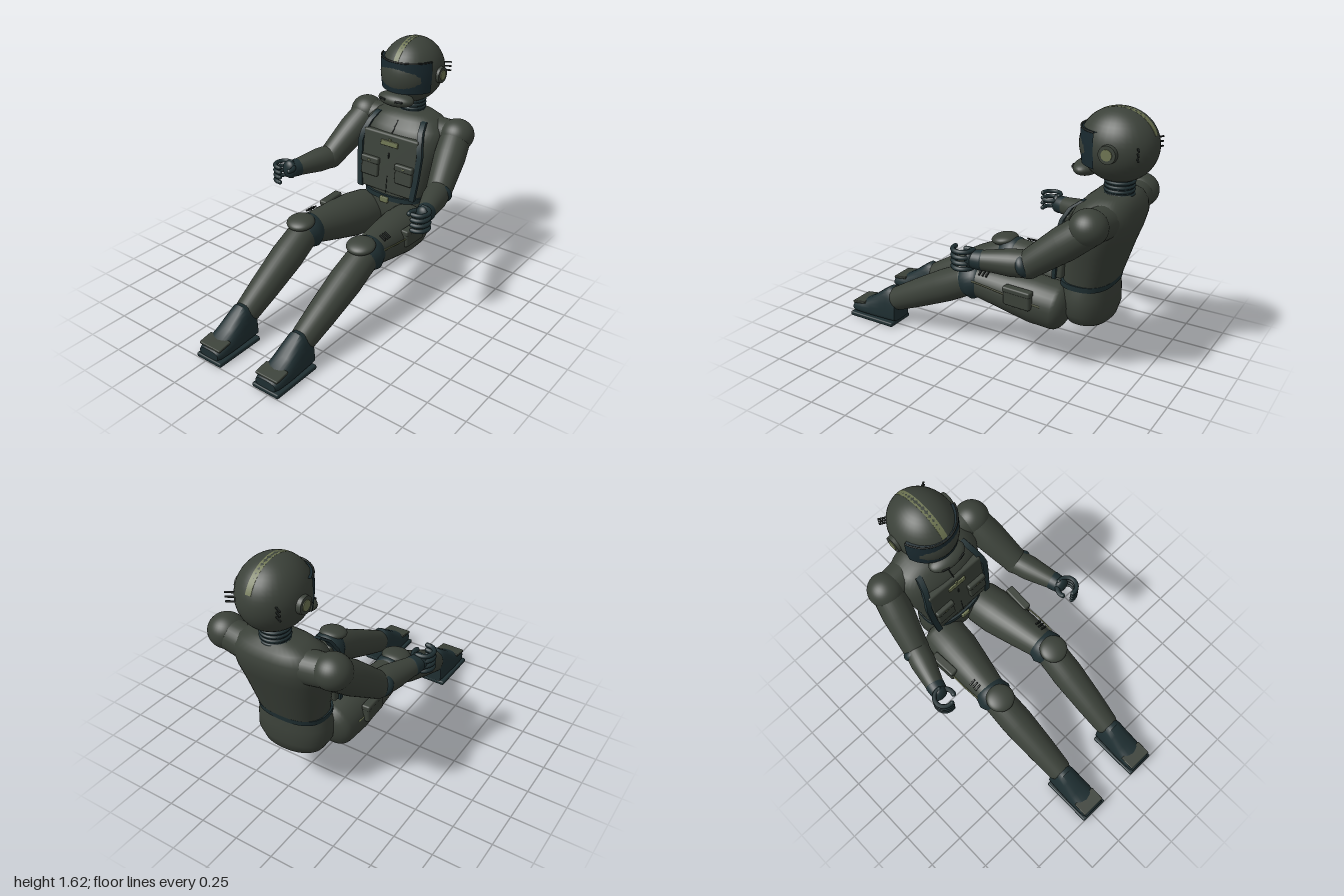
import * as THREE from 'three';
import { toCreasedNormals } from 'three/addons/utils/BufferGeometryUtils.js';
import { RoundedBoxGeometry } from 'three/addons/geometries/RoundedBoxGeometry.js';

const V = (x, y, z) => new THREE.Vector3(x, y, z);
const mat = (name, color) => Object.assign(new THREE.MeshStandardMaterial({ color }), { name });

// Skin through closed rings (counter-clockwise about the direction of travel), capped at both ends
function loft(rings, crease = 0.7) {
  const n = rings[0].length, pos = [], idx = [];
  rings.forEach(r => r.forEach(p => pos.push(p.x, p.y, p.z)));
  for (let i = 0; i < rings.length - 1; i++) for (let j = 0; j < n; j++) {
    const k = (j + 1) % n, a = i * n + j, b = i * n + k;
    idx.push(a, b, b + n, a, b + n, a + n);
  }
  [0, rings.length - 1].forEach((ri, end) => {
    const c = rings[ri].reduce((s, p) => s.add(p), V(0, 0, 0)).divideScalar(n), ci = pos.length / 3;
    pos.push(c.x, c.y, c.z);
    for (let j = 0; j < n; j++) {
      const a = ri * n + j, b = ri * n + (j + 1) % n;
      end ? idx.push(ci, a, b) : idx.push(ci, b, a);
    }
  });
  const g = new THREE.BufferGeometry();
  g.setAttribute('position', new THREE.Float32BufferAttribute(pos, 3));
  g.setIndex(idx);
  return toCreasedNormals(g, crease);
}

const pw = (v, e) => Math.sign(v) * Math.abs(v) ** e;

// Horizontal rounded-rectangle sections: [y, half width, front z, back z]
function bodyLoft(sections, e = 0.8) {
  return loft(sections.map(([y, rx, zf, zb]) => Array.from({ length: 40 }, (_, i) => {
    const a = i / 40 * Math.PI * 2;
    return V(rx * pw(Math.cos(a), e), y, (zf + zb) / 2 - (zf - zb) / 2 * pw(Math.sin(a), e));
  })), 0.9);
}

// Round limb from a to b with [t, radius] stations and domed ends
function limbGeometry(a, b, stations) {
  const len = a.distanceTo(b), pts = [], r0 = stations[0][1], r1 = stations.at(-1)[1];
  for (let i = 0; i <= 6; i++) {
    const t = (i / 6 - 1) * Math.PI / 2;
    pts.push(new THREE.Vector2(r0 * Math.cos(t), r0 * 0.6 * Math.sin(t)));
  }
  stations.slice(1, -1).forEach(([t, r]) => pts.push(new THREE.Vector2(r, t * len)));
  for (let i = 0; i <= 6; i++) {
    const t = i / 6 * Math.PI / 2;
    pts.push(new THREE.Vector2(r1 * Math.cos(t), len + r1 * 0.6 * Math.sin(t)));
  }
  pts[0].x = pts.at(-1).x = 0;
  const q = new THREE.Quaternion().setFromUnitVectors(V(0, 1, 0), b.clone().sub(a).normalize());
  return new THREE.LatheGeometry(pts, 32).applyQuaternion(q).translate(a.x, a.y, a.z);
}

export function createModel() {
  const root = new THREE.Group();
  const suit = mat('suit', 0x3b4139), teal = mat('darkTeal', 0x1f2f32);
  const visorMat = mat('visor', 0x1a2a30), olive = mat('olive', 0x6e7552), dark = mat('seam', 0x1b201e);

  const add = (name, geo, m, x = 0, y = 0, z = 0, rx = 0, ry = 0, rz = 0) => {
    const o = new THREE.Mesh(geo, m);
    o.name = name; o.position.set(x, y, z); o.rotation.set(rx, ry, rz);
    root.add(o); return o;
  };
  const ball = (name, m, x, y, z, a, b, c, rx = 0) =>
    add(name, new THREE.SphereGeometry(1, 36, 24).scale(a, b, c), m, x, y, z, rx);
  const box = (name, m, w, h, d, x, y, z, rx = 0, ry = 0, rz = 0) =>
    add(name, new RoundedBoxGeometry(w, h, d, 2, Math.min(w, h, d) * 0.3), m, x, y, z, rx, ry, rz);
  const limb = (name, m, a, b, st) => add(name, limbGeometry(a, b, st), m);
  const tube = (name, m, pts, r, n = 24) =>
    add(name, new THREE.TubeGeometry(new THREE.CatmullRomCurve3(pts), n, r, 8), m);
  const lathe = (pts, seg, s = 0, l = Math.PI * 2) =>
    toCreasedNormals(new THREE.LatheGeometry(pts.map(p => new THREE.Vector2(...p)), seg, s, l), 0.6);

  // Helmet with visor, crest stripe and chin guard
  ball('helmet', suit, 0, 1.407, -0.77, 0.2, 0.215, 0.23);
  add('visor', lathe([[0.15, -0.105], [0.21, -0.105], [0.217, -0.05], [0.222, 0], [0.222, 0.05], [0.22, 0.1], [0.15, 0.103]],
    40, -1.24, 2.48).scale(0.92, 1, 1), visorMat, 0, 1.403, -0.77);
  add('visorBrow', new THREE.TorusGeometry(0.217, 0.006, 8, 40, 2.48).rotateX(Math.PI / 2)
    .rotateY(-(Math.PI / 2 - 1.24)).scale(0.92, 1, 1), dark, 0, 1.505, -0.77);
  add('crestStripe', lathe([[0.2, -0.018], [0.223, -0.018], [0.223, 0.018], [0.2, 0.018]], 40, 0.5, 2.25)
    .rotateZ(Math.PI / 2).scale(1, 0.98, 1.04), olive, 0, 1.403, -0.77);
  ball('chinGuard', suit, 0, 1.25, -0.585, 0.13, 0.048, 0.075);
  add('neck', new THREE.CylinderGeometry(0.08, 0.085, 0.14, 32), teal, 0, 1.16, -0.785);
  for (const y of [1.125, 1.15, 1.175, 1.2])
    add('neckRing', new THREE.TorusGeometry(0.081, 0.01, 8, 32).rotateX(Math.PI / 2), teal, 0, y, -0.785);

  // Torso and pelvis
  add('torso', bodyLoft([[0.55, 0.215, -0.49, -0.785], [0.62, 0.225, -0.5, -0.81], [0.8, 0.268, -0.515, -0.865],
    [0.9, 0.292, -0.53, -0.9], [0.99, 0.3, -0.545, -0.924], [1.05, 0.285, -0.575, -0.917], [1.1, 0.235, -0.62, -0.895],
    [1.132, 0.165, -0.66, -0.865]]), suit);
  add('pelvis', bodyLoft([[0.312, 0.15, -0.56, -0.76], [0.335, 0.2, -0.52, -0.782], [0.4, 0.24, -0.49, -0.8],
    [0.5, 0.24, -0.48, -0.797], [0.57, 0.222, -0.485, -0.79]], 0.9), suit);
  add('belt', bodyLoft([[0.558, 0.227, -0.478, -0.795], [0.592, 0.23, -0.48, -0.8]]), teal);
  box('buckle', olive, 0.064, 0.042, 0.02, 0, 0.562, -0.475);

  // Chest panel with name patch, zip and pockets
  const tilt = -0.1, front = y => -0.492 - (y - 0.61) * 0.1;
  box('chestPanel', suit, 0.43, 0.41, 0.05, 0, 0.81, front(0.81) - 0.025, tilt);
  box('chestPatch', olive, 0.135, 0.036, 0.014, 0, 0.953, front(0.953) + 0.004, tilt);
  box('patchClip', olive, 0.02, 0.012, 0.012, 0, 0.978, front(0.978) + 0.003, tilt);
  box('zipPull', dark, 0.01, 0.035, 0.01, 0, 0.87, front(0.87) + 0.002, tilt);
  box('zip', dark, 0.006, 0.12, 0.006, 0, 0.665, front(0.665), tilt);
  box('collarZip', dark, 0.007, 0.1, 0.008, 0, 1.055, -0.58, -0.75);

  for (const s of [1, -1]) {
    const side = s > 0 ? 'left' : 'right';
    const nm = t => side + t;

    // Helmet fittings
    box(nm('ChinVent'), dark, 0.05, 0.014, 0.012, s * 0.062, 1.257, -0.52, 0, s * 0.25);
    add(nm('EarDisc'), new THREE.CylinderGeometry(0.052, 0.056, 0.04, 28).rotateZ(-s * Math.PI / 2), suit, s * 0.196, 1.4, -0.79);
    add(nm('EarCap'), new THREE.CylinderGeometry(0.033, 0.033, 0.014, 10).rotateZ(-s * Math.PI / 2), olive, s * 0.214, 1.4, -0.79);
    for (const y of [1.38, 1.408, 1.436])
      box(nm('RearFin'), dark, 0.085, 0.009, 0.011, s * 0.142, y, -0.938, 0, s * 0.5);

    // Harness strap
    const path = [[0.18, 1.11, -0.65], [0.2, 1.06, -0.585], [0.222, 0.99, -0.545], [0.235, 0.92, -0.53], [0.225, 0.75, -0.51], [0.208, 0.605, -0.495]];
    add(nm('HarnessStrap'), loft(path.reverse().map(([x, y, z]) =>
      [[1, 1], [1, -1], [-1, -1], [-1, 1]].map(([a, b]) => V(s * x + a * 0.019, y, z + b * 0.012)))), teal);

    // Chest pocket and flap
    box(nm('ChestPocket'), suit, 0.132, 0.125, 0.03, s * 0.135, 0.765, front(0.765) + 0.008, tilt);
    box(nm('PocketFlap'), suit, 0.14, 0.045, 0.036, s * 0.135, 0.815, front(0.815) + 0.011, tilt);
    box(nm('PocketSnap'), olive, 0.025, 0.008, 0.008, s * 0.135, 0.815, front(0.815) + 0.028, tilt);

    // Arm
    const shoulder = V(s * 0.355, 1.02, -0.77), elbow = V(s * 0.435, 0.77, -0.45), wrist = V(s * 0.52, 0.762, -0.16);
    ball(nm('ShoulderCap'), suit, s * 0.36, 1.03, -0.77, 0.113, 0.105, 0.112);
    limb(nm('ShoulderRoot'), suit, V(s * 0.2, 1.01, -0.785), shoulder, [[0, 0.1], [1, 0.095]]);
    limb(nm('UpperArm'), suit, shoulder, elbow, [[0, 0.1], [0.4, 0.103], [1, 0.083]]);
    ball(nm('Elbow'), suit, elbow.x, elbow.y, elbow.z, 0.085, 0.083, 0.085);
    ball(nm('ElbowPad'), teal, s * 0.452, 0.772, -0.436, 0.083, 0.075, 0.05, 0.5);
    limb(nm('Forearm'), suit, elbow, wrist, [[0, 0.08], [0.35, 0.08], [1, 0.054]]);
    limb(nm('GloveCuff'), teal, V(s * 0.513, 0.762, -0.185), V(s * 0.522, 0.763, -0.14), [[0, 0.06], [1, 0.055]]);
    ball(nm('Palm'), teal, s * 0.527, 0.765, -0.125, 0.053, 0.064, 0.036);

    // Gripping fingers curl around the outside; the thumb closes from inside
    const arc = (from, to, y, r = 0.061) => Array.from({ length: 9 }, (_, i) => {
      const a = from + (to - from) * i / 8;
      return V(s * (0.531 + r * Math.sin(a)), y, -0.075 - r * Math.cos(a));
    });
    for (const y of [0.712, 0.747, 0.782, 0.817]) {
      const pts = arc(-0.2, 3.3, y);
      tube(nm('Finger'), teal, pts, 0.0145);
      for (const p of [pts[0], pts[8]]) ball(nm('FingerTip'), teal, p.x, p.y, p.z, 0.0145, 0.0145, 0.0145);
    }
    const thumb = arc(-0.3, -1.9, 0.79);
    tube(nm('Thumb'), teal, thumb, 0.016);
    ball(nm('ThumbTip'), teal, thumb[8].x, thumb[8].y, thumb[8].z, 0.016, 0.016, 0.016);

    // Leg
    const hip = V(s * 0.175, 0.412, -0.5), knee = V(s * 0.237, 0.48, 0.03), ankle = V(s * 0.226, 0.18, 0.65);
    limb(nm('Thigh'), suit, hip, knee, [[0, 0.148], [0.25, 0.15], [0.6, 0.128], [1, 0.1]]);
    limb(nm('KneeCuff'), teal, V(s * 0.236, 0.482, 0.01), V(s * 0.24, 0.462, 0.095), [[0, 0.108], [0.5, 0.121], [1, 0.1]]);
    ball(nm('KneePad'), suit, s * 0.24, 0.563, 0.11, 0.093, 0.038, 0.09, 0.15);
    limb(nm('Shin'), suit, V(s * 0.24, 0.465, 0.09), ankle, [[0, 0.1], [0.3, 0.105], [0.7, 0.093], [1, 0.08]]);

    // Thigh pocket, piping and ribs
    box(nm('ThighPocket'), suit, 0.05, 0.115, 0.185, s * 0.335, 0.48, -0.32, 0, -s * 0.05);
    box(nm('ThighPocketFlap'), suit, 0.056, 0.035, 0.19, s * 0.336, 0.525, -0.32, 0, -s * 0.05);
    tube(nm('ThighPiping'), olive, [V(s * 0.337, 0.51, 0), V(s * 0.345, 0.5, -0.13), V(s * 0.34, 0.475, -0.3), V(s * 0.325, 0.452, -0.46)], 0.005);
    for (const z of [-0.09, -0.065, -0.04])
      box(nm('ThighRib'), dark, 0.05, 0.012, 0.011, s * 0.298, 0.567, z, 0, 0, -s * 0.5);

    // Boot: arched sections [z, half width, top]
    add(nm('Boot'), loft([[0.642, 0.077, 0.23], [0.68, 0.08, 0.25], [0.715, 0.082, 0.255], [0.76, 0.084, 0.225],
      [0.84, 0.088, 0.165], [0.91, 0.088, 0.122], [0.965, 0.085, 0.105], [0.993, 0.074, 0.088]].map(([z, w, top]) =>
      Array.from({ length: 28 }, (_, i) => {
        const a = i / 28 * Math.PI * 2, c = Math.cos(a), t = Math.sin(a);
        return V(s * 0.226 + w * pw(c, 0.7), t > 0 ? 0.06 + (top - 0.06) * pw(t, 0.85) : 0.06 + 0.028 * pw(t, 0.4), z);
      }))), teal);
    box(nm('ToeCap'), suit, 0.165, 0.018, 0.1, s * 0.226, 0.108, 0.935, 0.15);
    box(nm('Sole'), teal, 0.196, 0.03, 0.35, s * 0.226, 0.015, 0.825);
  }
  return root;
}
